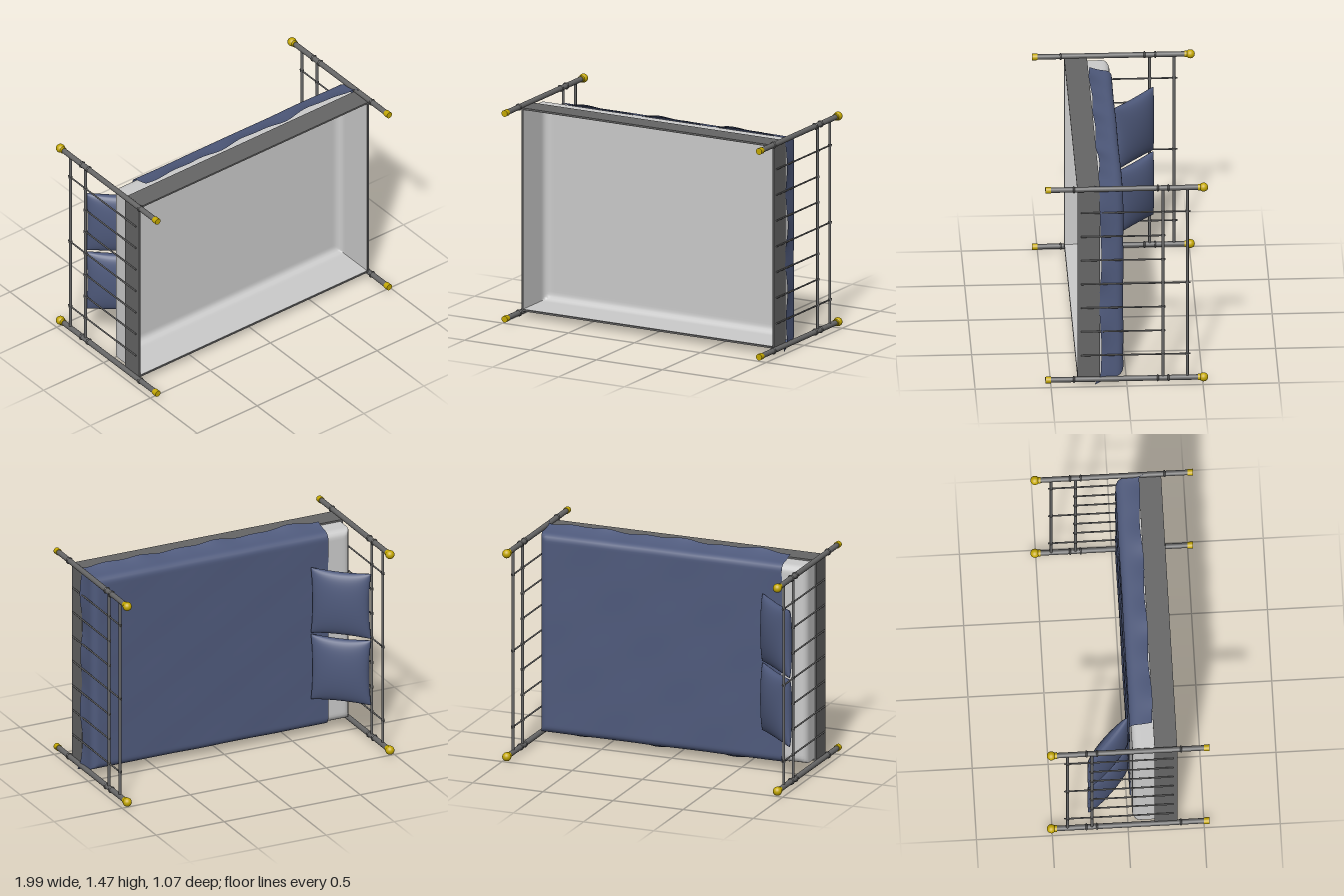
import * as THREE from 'three';

const material = (color, side = THREE.FrontSide) =>
  new THREE.MeshStandardMaterial({ color, side });
const steel = material(0x666666);
const brass = material(0xc4a800);
const linen = material(0xcccccc, THREE.DoubleSide);
const cloth = material(0x4f5a7c, THREE.DoubleSide);

const POST_X = 0.965, POST_Z = 0.7;

function add(parent, name, geometry, mat, x = 0, y = 0, z = 0) {
  const mesh = new THREE.Mesh(geometry, mat);
  mesh.name = name;
  mesh.position.set(x, y, z);
  parent.add(mesh);
  return mesh;
}

// Wraps a flat coordinate over a rounded edge: p = position, d = drop below the top
function fold(t, half, r) {
  const a = Math.abs(t) - (half - r), s = Math.sign(t);
  if (a <= 0) return { p: t, d: 0 };
  if (a < r * Math.PI / 2) {
    return { p: s * (half - r + r * Math.sin(a / r)), d: r * (1 - Math.cos(a / r)) };
  }
  return { p: s * half, d: r + a - r * Math.PI / 2 };
}

// Sheet draped over a box; 'start' cuts it off flat at one x, 'ripple' shapes the hem
function drapedSheet({ halfX, halfZ, r, top, drop, start, ripple }) {
  const extra = r * (Math.PI / 2 - 1) + drop - r;
  const x1 = halfX + extra, z1 = halfZ + extra;
  const x0 = start ?? -x1;
  const geo = new THREE.PlaneGeometry(1, 1, 130, 110).rotateX(-Math.PI / 2);
  const pos = geo.attributes.position;
  for (let i = 0; i < pos.count; i++) {
    const fx = fold(THREE.MathUtils.lerp(x0, x1, pos.getX(i) + 0.5), halfX, r);
    const fz = fold(pos.getZ(i) * 2 * z1, halfZ, r);
    const v = new THREE.Vector3(fx.p, top - Math.max(fx.d, fz.d), fz.p);
    if (ripple) ripple(v, fx.d / drop, fz.d / drop);
    pos.setXYZ(i, v.x, v.y, v.z);
  }
  geo.computeVertexNormals();
  return geo;
}

// Side hems flare and wave, the foot corners hang a little lower
function blanketRipple(v, dx, dz) {
  const s = Math.sign(v.z), x = v.x, z = v.z;
  v.z += s * dz * dz * (0.036 + 0.007 * Math.sin(x * 11 + s) + 0.005 * Math.sin(x * 23 + 2 * s));
  v.x += dx * dx * (0.012 + 0.008 * Math.sin(z * 15));
  v.y += Math.max(dx, dz) * 0.006 * Math.sin(x * 13 + z * 9);
  v.y -= dx * dz * 0.04;
  v.z += s * dx * dz * 0.015;
  v.y += 0.0015 * Math.sin(x * 9 + z * 4) * Math.sin(z * 11);
}

// Cushion with a thin seam, plump middle and drawn-out corners
function pillowGeometry(length, thickness, width) {
  const geo = new THREE.BoxGeometry(2, 2, 2, 26, 1, 26);
  const pos = geo.attributes.position;
  for (let i = 0; i < pos.count; i++) {
    const x = Math.sin(pos.getX(i) * Math.PI / 2), z = Math.sin(pos.getZ(i) * Math.PI / 2);
    const puff = Math.pow(Math.max(0, (1 - x * x) * (1 - z * z)), 0.4);
    pos.setXYZ(i,
      x * (1 - 0.07 * (1 - z * z)) * length / 2,
      pos.getY(i) * (puff * thickness / 2 + 0.001),
      z * (1 - 0.06 * (1 - x * x)) * width / 2);
  }
  geo.computeVertexNormals();
  return geo;
}

// One end of the bedstead: two posts, two rails and seven rods
function bedEnd(name, x) {
  const end = new THREE.Group();
  end.name = name;
  end.position.x = x;
  for (const s of [-1, 1]) {
    const z = s * POST_Z;
    add(end, 'post', new THREE.CylinderGeometry(0.018, 0.018, 1.0, 20), steel, 0, 0, z);
    add(end, 'finial', new THREE.SphereGeometry(0.03, 20, 14), brass, 0, 0.505, z);
    add(end, 'finialCollar', new THREE.CylinderGeometry(0.022, 0.022, 0.016, 20), brass, 0, 0.476, z);
    add(end, 'footCap', new THREE.CylinderGeometry(0.022, 0.022, 0.036, 20), brass, 0, -0.518, z);
    for (const h of [-0.348, 0.204, 0.274]) {
      add(end, 'postRing', new THREE.TorusGeometry(0.018, 0.006, 8, 20).rotateX(Math.PI / 2), steel, 0, h, z);
    }
  }
  for (const h of [0.238, 0.398]) {
    add(end, 'rail', new THREE.CylinderGeometry(0.0095, 0.0095, 2 * POST_Z, 14).rotateX(Math.PI / 2), steel, 0, h, 0);
  }
  for (let k = -3; k <= 3; k++) {
    const tall = k % 3 === 0, z = k * 0.175;
    const topH = tall ? 0.42 : 0.255, bottomH = -0.3;
    add(end, 'rod', new THREE.CylinderGeometry(0.0055, 0.0055, topH - bottomH, 10),
      steel, 0, (topH + bottomH) / 2, z);
    for (const h of tall ? [0.238, 0.398] : [0.238]) {
      add(end, 'railCollar', new THREE.CylinderGeometry(0.0125, 0.0125, 0.014, 14).rotateX(Math.PI / 2), steel, 0, h, z);
    }
  }
  return end;
}

export function createModel() {
  const model = new THREE.Group();
  model.name = 'bed';

  // The bed is built upright, then laid on its side
  const bed = new THREE.Group();
  bed.name = 'bedBody';
  bed.rotation.x = -Math.PI / 2;
  bed.position.y = 0.754;
  model.add(bed);

  bed.add(bedEnd('headboard', -POST_X), bedEnd('footboard', POST_X));

  // Open frame of four thin boards
  for (const s of [-1, 1]) {
    add(bed, 'sideBoard', new THREE.BoxGeometry(1.91, 0.15, 0.012), steel, 0, -0.25, s * 0.686);
    add(bed, 'endBoard', new THREE.BoxGeometry(0.012, 0.15, 1.37), steel, s * 0.952, -0.25, 0);
  }

  // Mattress shell, open underneath
  add(bed, 'mattress', drapedSheet({
    halfX: 0.944, halfZ: 0.677, r: 0.045, top: -0.03, drop: 0.29,
  }), linen);

  // Blanket over the mattress, short of the head end
  add(bed, 'blanket', drapedSheet({
    halfX: 0.953, halfZ: 0.684, r: 0.045, top: -0.021, drop: 0.152, start: -0.775, ripple: blanketRipple,
  }), cloth);

  // Two pillows leaning on the headboard
  for (const s of [-1, 1]) {
    const pillow = add(bed, 'pillow', pillowGeometry(0.41, 0.13, 0.465), cloth, -0.796, 0.123, s * 0.238);
    pillow.rotation.z = -0.73;
  }
  return model;
}
